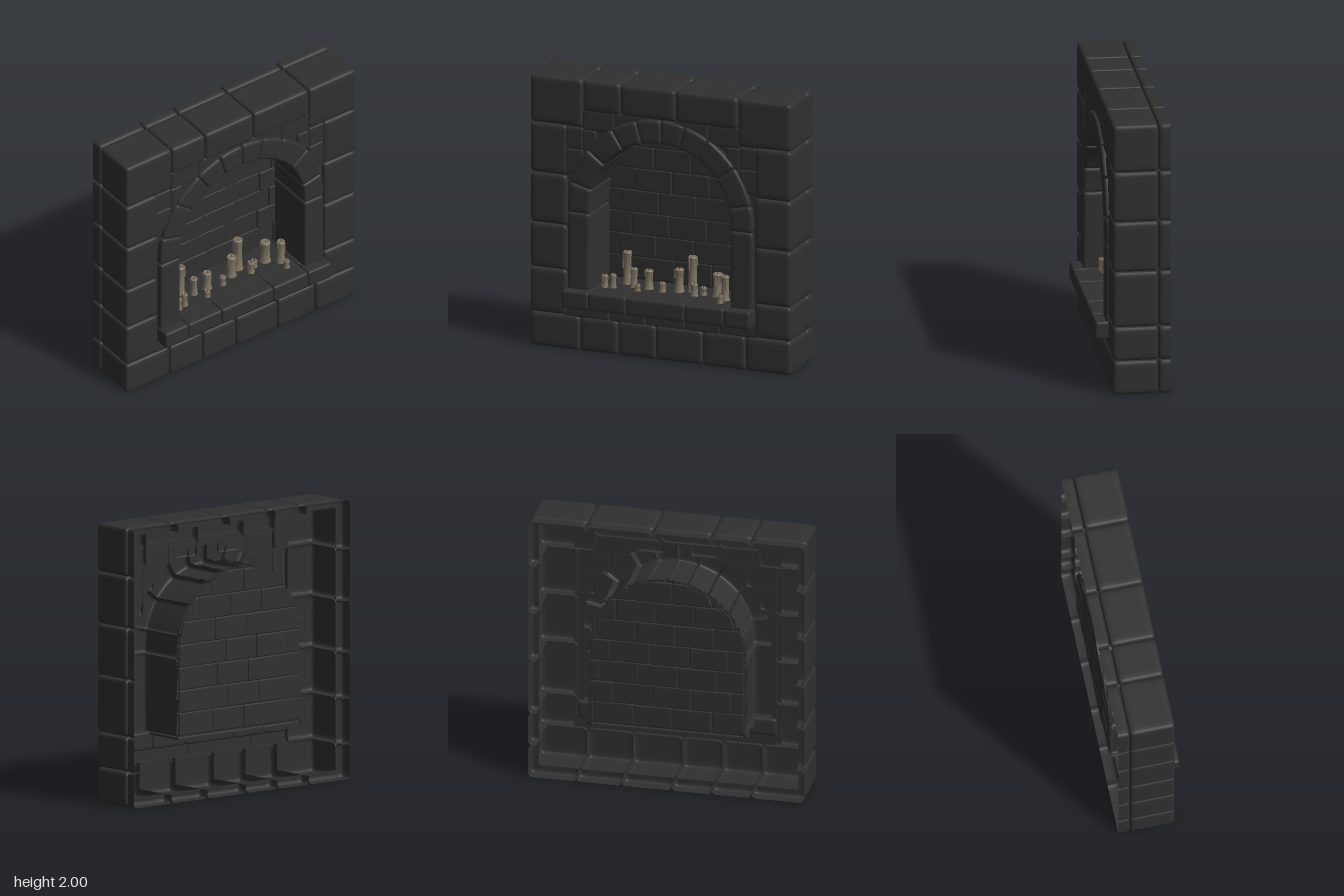
import * as THREE from 'three';
import { mergeVertices, toCreasedNormals } from 'three/addons/utils/BufferGeometryUtils.js';

const stoneMat = new THREE.MeshStandardMaterial({ name: 'dark stone', color: 0x303030, side: THREE.DoubleSide });
const waxMat = new THREE.MeshStandardMaterial({ name: 'candle wax', color: 0x7b7160 });
const wickMat = new THREE.MeshStandardMaterial({ name: 'wick', color: 0x3a342c });

// Arch measures: inner and outer radius, spring height, middle radius, arc length
const R_IN = 0.54, R_OUT = 0.71, SPRING = 1.06, R_MID = 0.62, ARC = Math.PI * R_MID;
const BACK = -0.22;

// Rounded stone between two corners; move() reshapes points, keep() picks the faces that remain
function stone(min, max, r, { move, keep } = {}) {
  const g = new THREE.BoxGeometry(1, 1, 1, 8, 8, 8);
  const p = g.attributes.position, d = new THREE.Vector3(), c = new THREE.Vector3();
  for (let i = 0; i < p.count; i++) {
    for (let k = 0; k < 3; k++) {
      const len = max[k] - min[k], n = Math.round((p.getComponent(i, k) + 0.5) * 8);
      const q = Math.min(r, len / 4.2);
      const half = [0, 0.4 * q, q, 2 * q, len / 2];
      const v = n <= 4 ? half[n] : len - half[8 - n];
      const inner = Math.min(Math.max(v, q), len - q);
      c.setComponent(k, min[k] + inner);
      d.setComponent(k, (v - inner) / q);
    }
    d.normalize();
    for (let k = 0; k < 3; k++) {
      const q = Math.min(r, (max[k] - min[k]) / 4.2);
      c.setComponent(k, c.getComponent(k) + d.getComponent(k) * q);
    }
    p.setXYZ(i, c.x, c.y, c.z);
  }
  if (keep) {
    const kept = [], index = g.index.array;
    for (let t = 0; t < index.length; t += 3) {
      c.set(0, 0, 0);
      for (let k = 0; k < 3; k++) c.add(d.fromBufferAttribute(p, index[t + k]));
      if (keep(c.divideScalar(3))) kept.push(index[t], index[t + 1], index[t + 2]);
    }
    g.setIndex(kept);
  }
  if (move) {
    for (let i = 0; i < p.count; i++) {
      move(c.fromBufferAttribute(p, i));
      p.setXYZ(i, c.x, c.y, c.z);
    }
  }
  g.deleteAttribute('uv');
  g.deleteAttribute('normal');
  const merged = mergeVertices(g, 1e-5);
  merged.computeVertexNormals();
  return merged;
}

function add(group, geometry, material, name) {
  const mesh = new THREE.Mesh(geometry, material);
  mesh.name = name;
  group.add(mesh);
  return mesh;
}

function part(parent, name) {
  const group = new THREE.Group();
  group.name = name;
  parent.add(group);
  return group;
}

// Outline of the arched opening
function archPath(path, radius, bottom) {
  path.moveTo(-radius, bottom);
  path.lineTo(radius, bottom);
  path.lineTo(radius, SPRING);
  path.absarc(0, SPRING, radius, 0, Math.PI, false);
  path.lineTo(-radius, bottom);
  return path;
}

// Straight jamb, half circle, straight jamb: x is the radius, y the length along the arch
function bend(v) {
  const s = v.y - SPRING, rad = v.x;
  if (s > ARC) { v.x = -rad; v.y = SPRING - (s - ARC); }
  else if (s > 0) { v.x = rad * Math.cos(s / R_MID); v.y = SPRING + rad * Math.sin(s / R_MID); }
}

export function createModel() {
  const model = new THREE.Group();
  model.name = 'fireplace';

  // Hollow outer frame: a deep front course and a shallow rear course
  const blocks = [
    [-1, -0.6, 1.65, 2], [-0.6, -0.31, 1.77, 2], [-0.31, 0.11, 1.77, 2], [0.11, 0.59, 1.77, 2], [0.59, 1, 1.65, 2],
  ];
  const rows = (x0, x1, ys) => ys.slice(1).forEach((y, i) => blocks.push([x0, x1, ys[i], y]));
  rows(-1, -0.72, [0.25, 0.58, 0.91, 1.28, 1.65]);
  rows(0.72, 1, [0.25, 0.5, 0.91, 1.28, 1.65]);
  const base = [-1, -0.62, -0.33, -0.04, 0.32, 0.65, 1];
  base.slice(1).forEach((x, i) => blocks.push([base[i], x, 0, 0.25]));

  const nearOutside = (c) => Math.min(1 - Math.abs(c.x), c.y, 2 - c.y) < 0.06;
  const frame = part(model, 'frame');
  for (const [x0, x1, y0, y1] of blocks) {
    add(frame, stone([x0, y0, -0.165], [x1, y1, 0.16], 0.03,
      { keep: (c) => c.z > 0.1 || nearOutside(c) }), stoneMat, 'frameStone');
    add(frame, stone([x0, y0, -0.34], [x1, y1, -0.165], 0.03, {
      keep: (c) => nearOutside(c) && c.z > -0.3,
      move: (v) => { v.z = Math.max(v.z, -0.25); },
    }), stoneMat, 'rearFrameStone');
  }

  // Recessed panel around the arch
  const wall = part(model, 'wall');
  const panel = new THREE.Shape([[-0.75, 0.22], [0.75, 0.22], [0.75, 1.8], [-0.75, 1.8]]
    .map(([x, y]) => new THREE.Vector2(x, y)));
  panel.holes.push(archPath(new THREE.Path(), 0.68, 0.43));
  add(wall, new THREE.ShapeGeometry(panel, 32).translate(0, 0, 0.128), stoneMat, 'panel');
  const spandrels = [
    [0.6, 0.73, 1.48, 1.64], [0.5, 0.6, 1.47, 1.63], [0.36, 0.6, 1.63, 1.78], [0.1, 0.36, 1.67, 1.78], [0.6, 0.73, 1.3, 1.48],
  ];
  const front = { keep: (c) => c.z > 0.125 };
  for (const side of [-1, 1]) {
    for (const [a, b, y0, y1] of spandrels) {
      add(wall, stone([Math.min(a * side, b * side), y0, 0.1], [Math.max(a * side, b * side), y1, 0.146], 0.014, front),
        stoneMat, 'spandrelStone');
    }
  }
  const strip = [-0.74, -0.4, -0.12, 0.18, 0.45, 0.74];
  strip.slice(1).forEach((x, i) =>
    add(wall, stone([strip[i], 0.24, 0.1], [x, 0.36, 0.146], 0.014, front), stoneMat, 'lowerWallStone'));

  // Arch stones, whose inner faces line the niche
  const arch = part(model, 'arch');
  const joints = [0.44, 1.02, 1.2, 1.46, 1.7, 1.87, 2.03, 2.2, 2.38, 2.6, 2.85, 3.05, 3.63];
  joints.slice(1).forEach((s, i) => add(arch, stone([R_IN, joints[i], BACK], [R_OUT, s, 0.172], 0.022, {
    keep: (c) => c.z > 0.125 || c.x < R_IN + 0.03, move: bend,
  }), stoneMat, 'archStone'));

  // Brick back of the niche, trimmed to the arch
  const niche = part(model, 'nicheBack');
  add(niche, new THREE.ShapeGeometry(archPath(new THREE.Shape(), R_IN + 0.015, 0.43), 32).translate(0, 0, -0.21),
    stoneMat, 'nicheWall');
  const trim = (v) => {
    const dy = Math.max(v.y - SPRING, 0), w = Math.sqrt(Math.max((R_IN + 0.02) ** 2 - dy * dy, 0));
    v.x = Math.min(Math.max(v.x, -w), w);
  };
  for (let row = 0; row < 7; row++) {
    const y = 0.47 + row * 0.163;
    const start = -0.56 - (row % 2 ? 0.17 : 0.05) - 0.02 * (row % 3);
    for (let i = 0; i < 5; i++) {
      const x = start + i * 0.285, bump = 0.006 * ((row * 3 + i * 2) % 3);
      const x0 = Math.max(x, -0.56), x1 = Math.min(x + 0.285, 0.56);
      if (x1 - x0 < 0.03) continue;
      add(niche, stone([x0, y, -0.226 - bump / 2], [x1, y + 0.163, -0.2 + bump], 0.01, { move: trim }), stoneMat, 'brick');
    }
  }

  // Shelf stones and the niche floor behind them
  const shelf = part(model, 'shelf');
  const cuts = [-0.72, -0.52, -0.23, 0.22, 0.52, 0.72];
  cuts.slice(1).forEach((x, i) => {
    add(shelf, stone([cuts[i], 0.33, 0.1], [x, 0.46, 0.25], 0.018), stoneMat, 'shelfStone');
    const x0 = Math.max(cuts[i], -0.56), x1 = Math.min(x, 0.56);
    add(shelf, stone([x0, 0.4, BACK], [x1, 0.46, 0.12], 0.01, { keep: (c) => c.y > 0.443 }), stoneMat, 'floorStone');
  });

  // Candles: x, z, top height, radius
  const candles = part(model, 'candles');
  const list = [
    [-0.47, 0.05, 0.55, 0.023], [-0.41, 0.04, 0.56, 0.021], [-0.355, -0.09, 0.7, 0.031], [-0.28, -0.03, 0.6, 0.025],
    [-0.22, 0.05, 0.51, 0.02], [-0.165, -0.03, 0.6, 0.03], [-0.05, 0, 0.53, 0.022], [0.06, -0.05, 0.63, 0.032],
    [0.145, -0.09, 0.72, 0.033], [0.195, 0, 0.55, 0.024], [0.25, -0.04, 0.52, 0.021], [0.355, -0.05, 0.63, 0.035],
    [0.44, 0.02, 0.64, 0.029], [0.435, 0.1, 0.52, 0.02],
  ];
  list.forEach(([x, z, top, r], n) => {
    const candle = part(candles, 'candle');
    candle.position.set(x, 0.45, z);
    const h = top - 0.45;
    const profile = [[0, 0], [1.25 * r, 0], [1.2 * r, 0.014], [r, 0.026], [0.9 * r, h * 0.6], [r, h - 0.02],
      [1.1 * r, h - 0.009], [0.85 * r, h], [0.5 * r, h - 0.005], [0, h - 0.006]].map(([a, b]) => new THREE.Vector2(a, b));
    add(candle, toCreasedNormals(new THREE.LatheGeometry(profile, 14), 0.8), waxMat, 'wax');
    for (let i = 0; i < 3; i++) {
      const a = n * 1.3 + i * 2.1, len = h * (0.2 + 0.12 * ((n + i) % 3));
      const drip = add(candle, new THREE.CapsuleGeometry(r * 0.22, len, 3, 6), waxMat, 'drip');
      drip.position.set(Math.cos(a) * r * 0.95, h - 0.012 - len / 2, Math.sin(a) * r * 0.95);
    }
    const wick = add(candle, new THREE.CylinderGeometry(0.002, 0.003, 0.02, 5), wickMat, 'wick');
    wick.position.y = h + 0.002;
  });

  return model;
}
